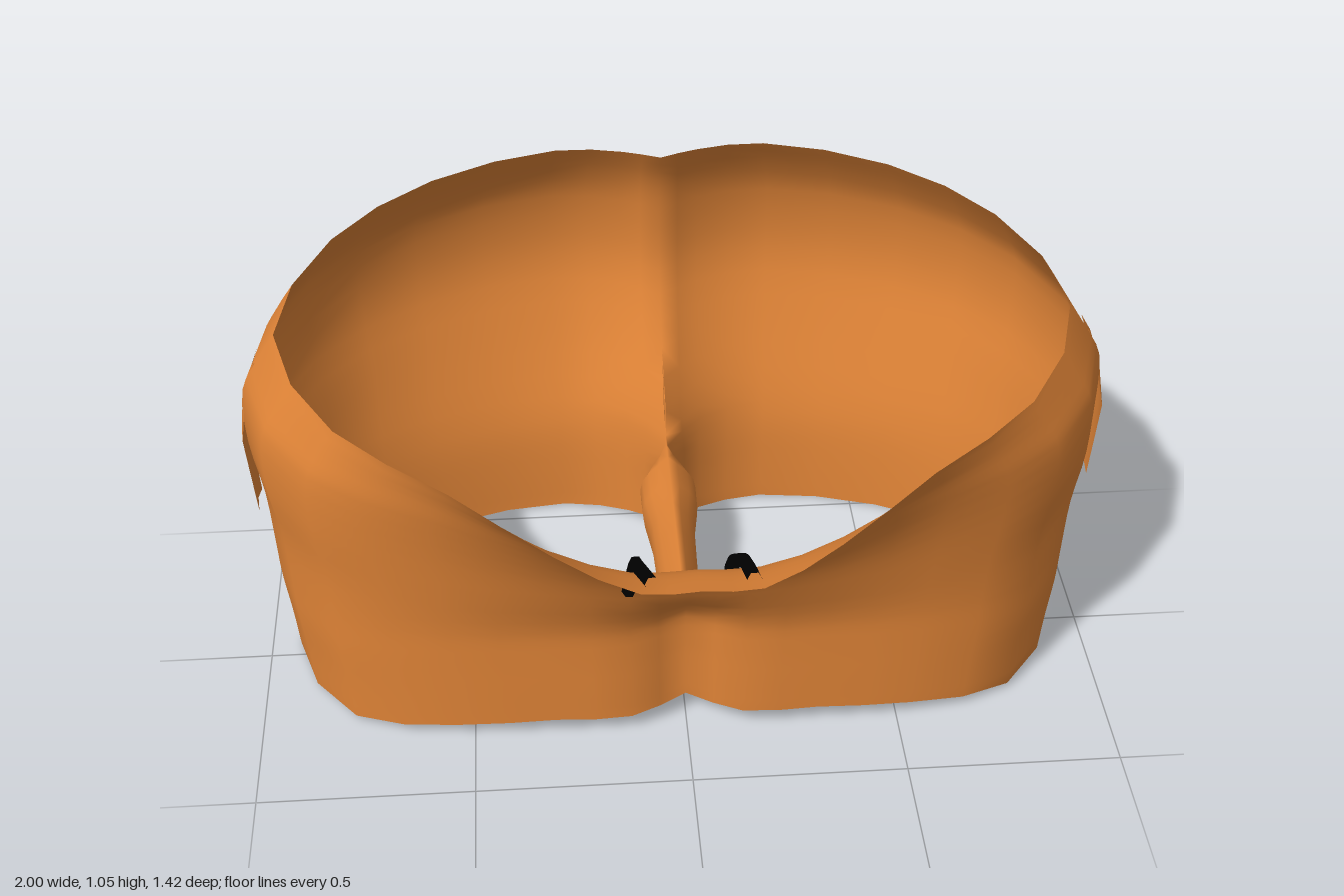
import * as THREE from 'three';
import { mergeVertices, mergeGeometries } from 'three/addons/utils/BufferGeometryUtils.js';

const V = (x, y, z) => new THREE.Vector3(x, y, z);
const STEP = 3; // samples per control span
const CROTCH_Y = 0.33;

// Outline of one half, from front centre round the side to back centre
const UX = [0, 0.14, 0.33, 0.57, 0.84, 1, 0.87, 0.61, 0.28, 0.1, 0];
const UZ = [1, 1, 1, 0.97, 0.74, -0.07, -0.6, -0.88, -1, -0.99, -0.97];
const BULGE = [1, 1, 0.77, 0.37, 0.08, 0, 0, 0, 0, 0, 0];
const CLEFT = [0, 0, 0, 0, 0, 0, 0, 0, 0, 0.35, 1];
const HEM = [0.065, 0.055, 0.055, 0.045, 0.02, 0.01, 0.005, 0.01, 0.01, 0.02, 0.06];

// Rows from waist to hem: height (1 waist, 0 crotch, -1 hem),
// half width, front bulge, back depth, back cleft, front crease
const ROWS = [
  [1, 0.9, 0.38, 0.595, 0.02, 0],
  [0.88, 0.945, 0.26, 0.65, 0.03, 0],
  [0.75, 0.985, 0.185, 0.69, 0.05, 0],
  [0.5, 0.99, 0.1, 0.705, 0.065, 0],
  [0.25, 0.967, 0.05, 0.655, 0.1, 0.01],
  [0, 0.958, 0.005, 0.59, 0.17, 0.06],
  [-0.3, 0.953, 0, 0.565, 0.15, 0.06],
  [-0.65, 0.94, 0, 0.555, 0.14, 0.06],
  [-1, 0.93, 0, 0.55, 0.14, 0.06],
];
const CROTCH_ROW = 5;

function outerPoint([h, w, bulge, back, cleft, crease], i) {
  const flatZ = (b) => (UZ[i] > 0 ? 0.33 : b) * UZ[i];
  const z = flatZ(back) + bulge * BULGE[i] + cleft * CLEFT[i] - (i === 0 ? crease : 0);
  const wz = flatZ(0.595) + 0.38 * BULGE[i];
  const waistY = 0.915 - 0.12 * wz - 0.27 * wz ** 3 + 0.08 * wz ** 4;
  const y = h >= 0 ? CROTCH_Y + h * (waistY - CROTCH_Y) : CROTCH_Y + h * (CROTCH_Y - HEM[i]);
  // the legs touch at the front and part a little at the back
  const x = i === 10 && h < 0 ? 0.015 : UX[i] * w;
  return V(x, y, z);
}

// Inner thigh, running from back to front under the crotch
const INNER_Z = [-0.33, -0.15, 0.03, 0.17];
const INNER_X = [0.065, 0.05, 0.045, 0.035];
function innerPoint([h], i) {
  const spread = h === 0 ? 0 : h === -1 ? 0.6 : 1;
  return V(INNER_X[i] * spread, CROTCH_Y - 0.015 + h * 0.245, INNER_Z[i]);
}

function sample(points, step) {
  const curve = new THREE.CatmullRomCurve3(points, false, 'centripetal');
  const n = (points.length - 1) * step;
  return Array.from({ length: n + 1 }, (_, k) => curve.getPoint(k / n));
}

// Surface through a grid of points; side = -1 mirrors it
function gridGeometry(grid, side) {
  const pos = [], index = [], n = grid[0].length;
  grid.forEach((row) => row.forEach((p) => pos.push(p.x * side, p.y, p.z)));
  for (let k = 0; k < grid.length - 1; k++) {
    for (let j = 0; j < n - 1; j++) {
      const a = k * n + j, b = a + 1, c = a + n, d = c + 1;
      if (side > 0) index.push(a, c, b, b, c, d);
      else index.push(a, b, c, b, d, c);
    }
  }
  const g = new THREE.BufferGeometry();
  g.setAttribute('position', new THREE.Float32BufferAttribute(pos, 3));
  g.setIndex(index);
  return g;
}

function shellGeometry() {
  // Smooth each column downward, then each row around
  const cols = UX.map((_, i) => sample(ROWS.map((r) => outerPoint(r, i)), STEP));
  const legRows = ROWS.slice(CROTCH_ROW);
  const innerCols = INNER_Z.map((_, i) => sample(legRows.map((r) => innerPoint(r, i)), STEP));
  const outer = cols[0].map((_, k) => sample(cols.map((c) => c[k]), 2));
  const inner = innerCols[0].map((_, k) => {
    const row = k + CROTCH_ROW * STEP;
    return sample([cols[10][row], ...innerCols.map((c) => c[k]), cols[0][row]], 2);
  });
  const parts = [1, -1].flatMap((s) => [gridGeometry(outer, s), gridGeometry(inner, s)]);
  const g = mergeVertices(mergeGeometries(parts), 1e-4);
  g.computeVertexNormals();
  return g;
}

// Narrow pocket flap following the hip
function pocketGeometry(side) {
  const rows = [[0.84, 0.956], [0.75, 0.988], [0.66, 1.0], [0.55, 0.992], [0.46, 0.985]];
  const grid = rows.map(([y, x], k) => [
    V(x - 0.006, y, k < 2 ? -0.05 : 0), V(x, y, -0.05), V(x - 0.006, y, -0.115 + k * 0.008),
  ]);
  const g = gridGeometry(grid, side);
  g.computeVertexNormals();
  return g;
}

export function createModel() {
  const cloth = new THREE.MeshStandardMaterial({ color: 0xe08437, side: THREE.DoubleSide });
  cloth.name = 'orange cloth';
  const cord = new THREE.MeshStandardMaterial({ color: 0x000000 });
  cord.name = 'black cord';

  const model = new THREE.Group();
  model.name = 'shorts';
  const add = (name, geometry, material) => {
    const mesh = new THREE.Mesh(geometry, material);
    mesh.name = name;
    model.add(mesh);
  };

  add('shortsShell', shellGeometry(), cloth);
  add('leftPocket', pocketGeometry(1), cloth);
  add('rightPocket', pocketGeometry(-1), cloth);

  // Drawstrings hanging inside the front of the waist
  const strings = {
    leftDrawstring: [V(0.11, 0.745, 0.67), V(0.1, 0.7, 0.555), V(0.085, 0.64, 0.485), V(0.09, 0.54, 0.41)],
    rightDrawstring: [V(-0.1, 0.745, 0.67), V(-0.125, 0.7, 0.555), V(-0.125, 0.64, 0.48), V(-0.137, 0.51, 0.412)],
  };
  for (const [name, points] of Object.entries(strings)) {
    add(name, new THREE.TubeGeometry(new THREE.CatmullRomCurve3(points), 16, 0.016, 6), cord);
  }
  return model;
}
